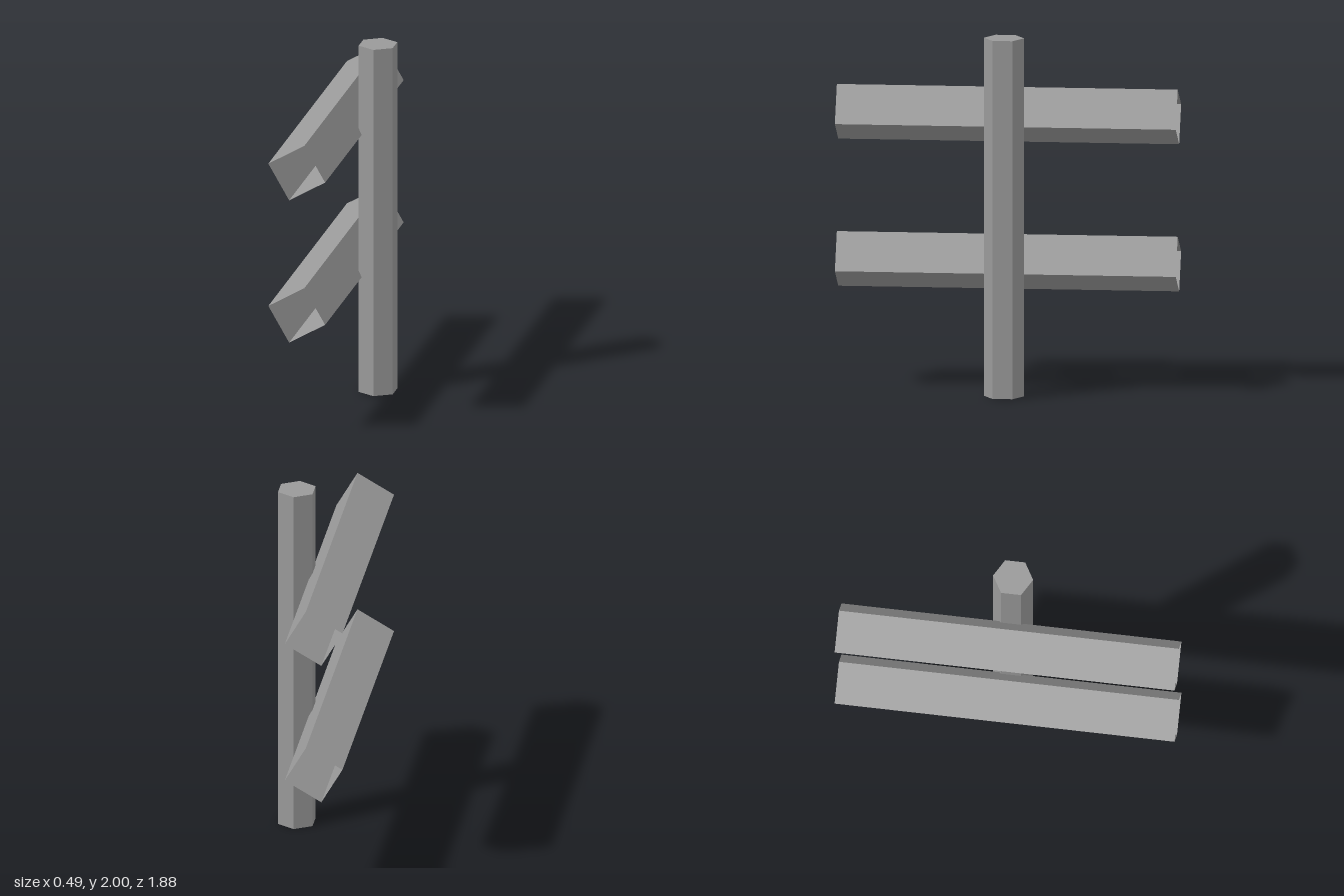
import * as THREE from 'three';

export function createModel() {
  const model = new THREE.Group();
  const material = new THREE.MeshStandardMaterial({
    color: 0x999999, flatShading: true, side: THREE.DoubleSide,
  });

  const add = (name, geometry, x, y) => {
    const mesh = new THREE.Mesh(geometry, material);
    mesh.name = name;
    mesh.position.set(x, y, 0);
    model.add(mesh);
  };

  // Upright hexagonal post, hollow and open at the bottom
  const R = 0.111;
  add('post', new THREE.CylinderGeometry(R, R, 2, 6, 1, true), 0.149, 1);

  // Hexagonal lid closing the top of the post
  const lid = new THREE.CircleGeometry(R, 6, Math.PI / 2).rotateX(-Math.PI / 2);
  add('postTop', lid, 0.149, 2);

  // Two square rails, open at both ends and tilted about their length
  const rail = new THREE.CylinderGeometry(0.166, 0.166, 1.882, 4, 1, true)
    .rotateX(Math.PI / 2)
    .rotateZ(-Math.PI / 12);
  add('lowerRail', rail, -0.088, 0.71);
  add('upperRail', rail, -0.088, 1.532);

  return model;
}
